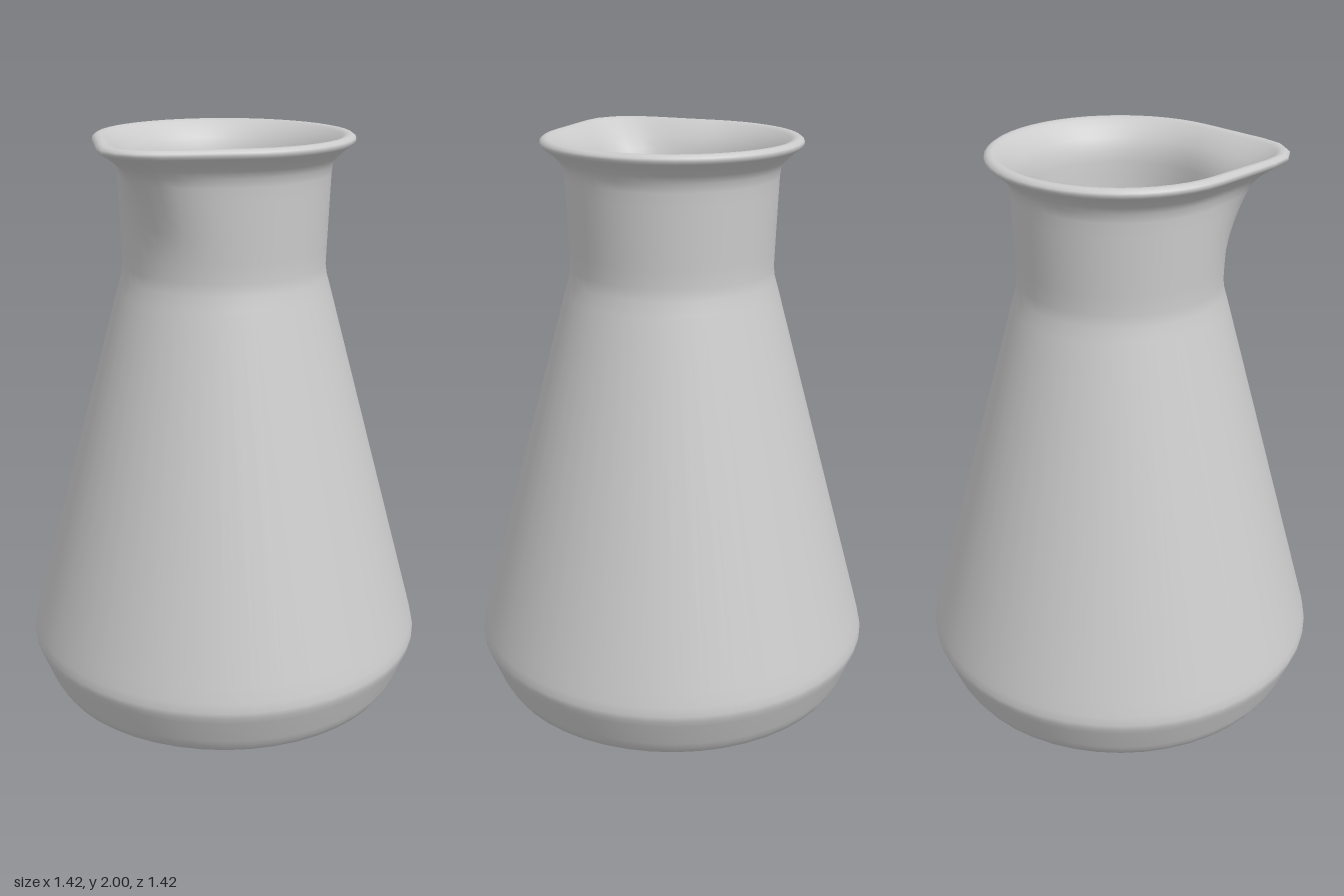
import * as THREE from 'three';
import { mergeVertices } from 'three/addons/utils/BufferGeometryUtils.js';

// Wall profile [radius, height]: under the base, up the outside, over the lip, down the inside
const PROFILE = [
  [0, 0], [0.59, 0], [0.605, 0.002], [0.63, 0.013], [0.648, 0.04], [0.66, 0.065],
  [0.696, 0.155], [0.706, 0.18], [0.708, 0.2], [0.702, 0.23], [0.69, 0.275],
  [0.37, 1.47], [0.356, 1.52], [0.351, 1.56], [0.353, 1.62], [0.355, 1.67], [0.357, 1.72],
  [0.359, 1.77], [0.361, 1.82], [0.363, 1.87], [0.367, 1.9], [0.382, 1.925], [0.41, 1.951],
  [0.435, 1.97], [0.443, 1.98], [0.441, 1.99], [0.43, 1.998], [0.415, 2.0],
  [0.398, 1.993], [0.375, 1.97], [0.348, 1.94], [0.331, 1.9], [0.325, 1.86],
  [0.322, 1.81], [0.319, 1.76], [0.316, 1.71], [0.314, 1.66], [0.311, 1.6], [0.309, 1.55],
  [0.314, 1.51], [0.328, 1.46], [0.648, 0.27], [0.664, 0.22], [0.664, 0.19],
  [0.655, 0.16], [0.622, 0.075], [0.606, 0.05], [0.585, 0.042], [0.57, 0.04], [0, 0.04],
];
const SPOUT_ANGLE = -Math.PI / 4;
const RIM = 0.44;

// How far the lip is drawn out: two tangents meeting in a rounded corner
function spoutReach(offset) {
  const a = Math.PI / 4 - Math.abs(offset);
  if (a <= 0) return 0;
  const d = RIM * (1 / Math.cos(a) - 1);
  return d / Math.pow(1 + Math.pow(d / 0.112, 6), 1 / 6);
}

function flaskGeometry() {
  const points = PROFILE.map(([r, y]) => new THREE.Vector2(r, y));
  const geo = new THREE.LatheGeometry(points, 48);
  const pos = geo.attributes.position;
  // Pull the upper neck and lip outward into the pouring spout
  for (let i = 0; i < pos.count; i++) {
    const x = pos.getX(i), y = pos.getY(i), z = pos.getZ(i);
    const r = Math.hypot(x, z);
    if (y <= 1.65 || r === 0) continue;
    const t = Math.min(1, (y - 1.65) / 0.33);
    const offset = Math.atan2(x, z) - SPOUT_ANGLE;
    const s = 1 + spoutReach(offset) * Math.pow(t, 1.6) / r;
    pos.setX(i, x * s);
    pos.setZ(i, z * s);
  }
  // Weld the seam so the normals run smoothly all the way round
  geo.deleteAttribute('uv');
  geo.deleteAttribute('normal');
  const welded = mergeVertices(geo, 1e-4);
  welded.computeVertexNormals();
  return welded;
}

export function createModel() {
  const group = new THREE.Group();
  group.name = 'conicalFlask';
  const material = new THREE.MeshStandardMaterial({ color: 0xcccccc });
  const flask = new THREE.Mesh(flaskGeometry(), material);
  flask.name = 'flaskWithSpout';
  group.add(flask);
  return group;
}
